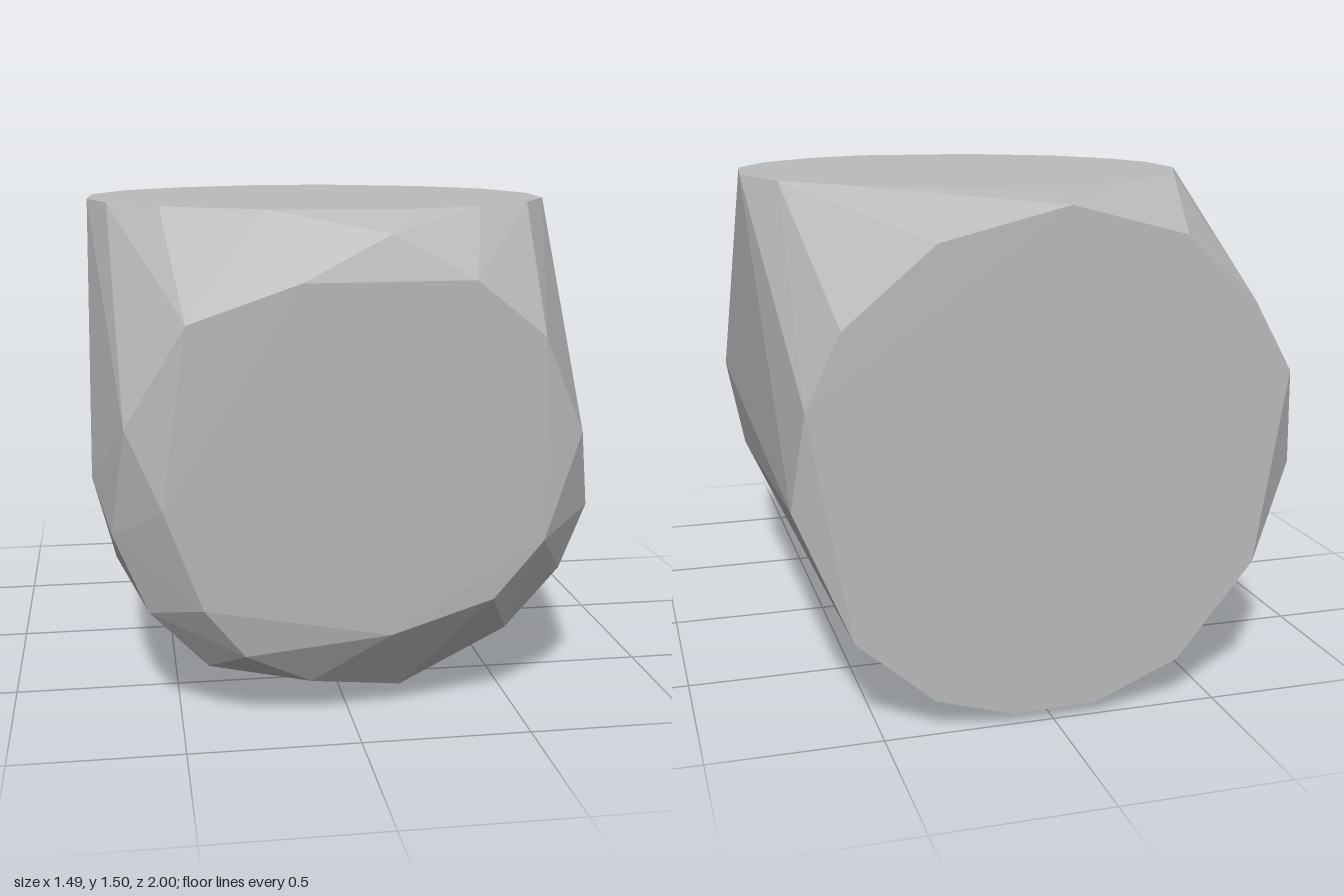
import * as THREE from 'three';
import { ConvexGeometry } from 'three/addons/geometries/ConvexGeometry.js';

// flat top outline as x, z at y = 1.5
const topRim = [
  [-0.62, -0.33], [-0.73, -0.08], [-0.74, 0.18], [-0.68, 0.38], [-0.53, 0.59], [-0.24, 0.77],
  [0.18, 0.80], [0.39, 0.70], [0.58, 0.53], [0.70, 0.30], [0.73, 0.02], [0.65, -0.28],
  [0.46, -0.50], [0.15, -0.65], [-0.10, -0.66], [-0.40, -0.53],
];

// flat round back outline as x, y at z = -1
const backRim = [
  [-0.03, 1.48], [0.34, 1.39], [0.60, 1.17], [0.70, 0.96], [0.58, 0.30], [0.35, 0.10], [0.12, 0.03],
  [-0.13, 0.035], [-0.38, 0.14], [-0.61, 0.42], [-0.70, 0.99], [-0.58, 1.20], [-0.37, 1.39],
];

// rounded front: outer rim
const frontRim = [
  [0.08, 1.445, 0.965], [0.31, 1.32, 0.99], [0.52, 1.155, 0.955], [0.65, 0.87, 0.91], [0.70, 0.63, 0.82],
  [0.63, 0.43, 0.80], [0.47, 0.25, 0.80], [0.16, 0.065, 0.75], [-0.12, 0.12, 0.82], [-0.42, 0.165, 0.77],
  [-0.59, 0.35, 0.80], [-0.69, 0.59, 0.81], [-0.65, 0.92, 0.92], [-0.48, 1.21, 0.975], [-0.17, 1.32, 1.0],
];

// lower edge of the front face
const frontChin = [
  [0.54, 0.56, 0.935], [0.40, 0.385, 0.92], [0.10, 0.29, 0.92],
  [-0.32, 0.235, 0.89], [-0.44, 0.39, 0.92], [-0.55, 0.69, 0.94],
];

// widest line around the belly, plus the two rear side corners
const belly = [
  [0.74, 0.76, 0.60], [0.69, 0.48, 0.50], [0.57, 0.27, 0.40], [0.40, 0.12, 0.33], [0.20, 0.03, 0.30],
  [-0.02, 0, 0.27], [-0.28, 0.055, 0.30], [-0.52, 0.21, 0.38], [-0.68, 0.42, 0.48], [-0.745, 0.70, 0.57],
  [0.735, 0.67, -0.94], [-0.74, 0.70, -0.94],
];

export function createModel() {
  const grey = new THREE.MeshStandardMaterial({ color: 0xbcbcbc, flatShading: true });
  grey.name = 'grey';

  const points = [
    ...topRim.map(([x, z]) => [x, 1.5, z]),
    ...backRim.map(([x, y]) => [x, y, -1]),
    ...frontRim, ...frontChin, ...belly,
  ].map((p) => new THREE.Vector3(...p));

  // single faceted convex body
  const body = new THREE.Mesh(new ConvexGeometry(points), grey);
  body.name = 'facetedBody';

  const model = new THREE.Group();
  model.name = 'facetedBlock';
  model.add(body);
  return model;
}
